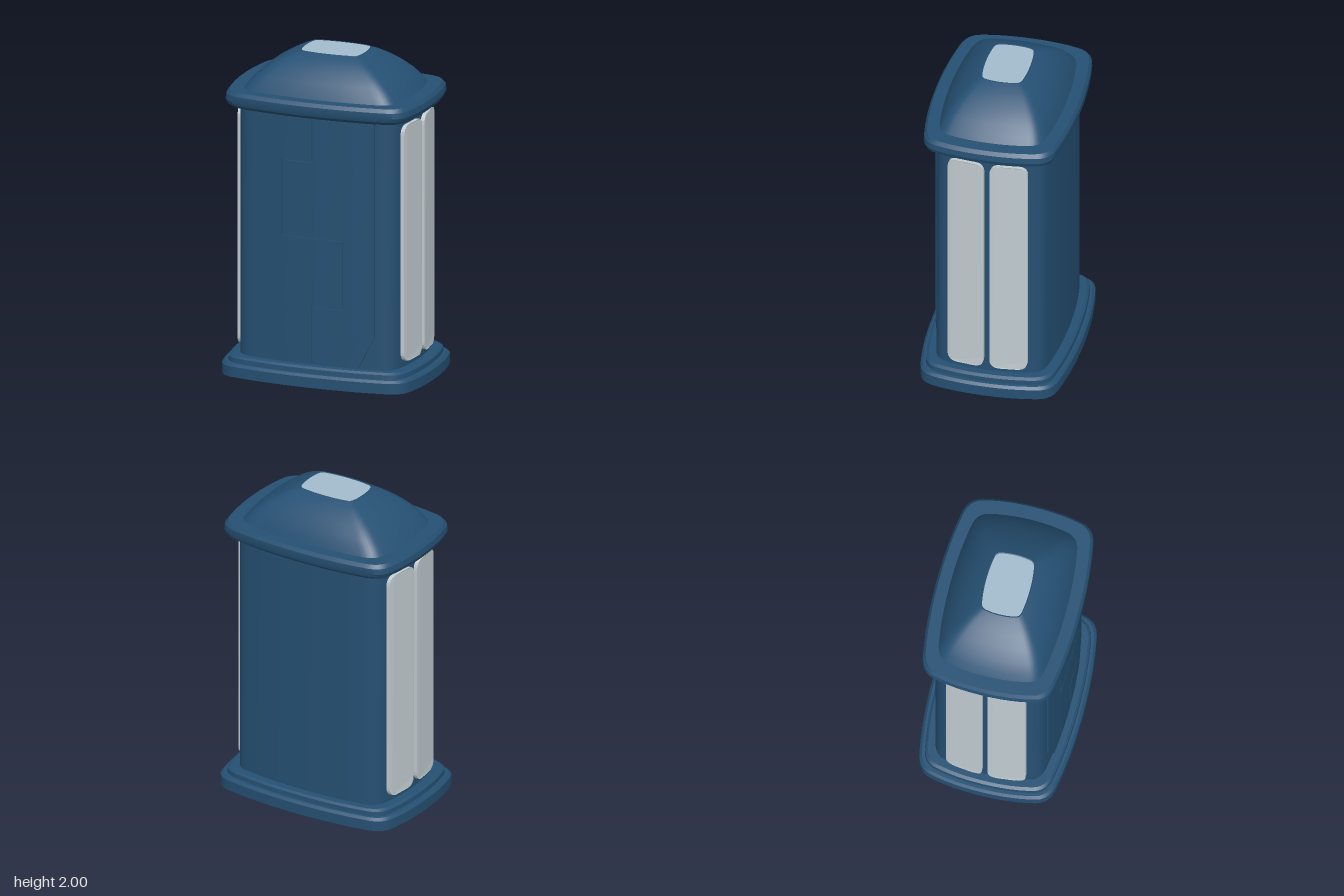
import * as THREE from 'three';
import { toCreasedNormals } from 'three/addons/utils/BufferGeometryUtils.js';

const mat = (name, color) => {
  const m = new THREE.MeshStandardMaterial({ color });
  m.name = name;
  return m;
};

// Bowed rectangle with soft corners, in a unit square
function unitOutline() {
  const s = new THREE.Path();
  s.moveTo(1, 0);
  for (const [x, z] of [[1, 1], [-1, 1], [-1, -1], [1, -1]]) {
    const side = () => {
      if (x * z > 0) s.quadraticCurveTo(x, 0.4 * z, 0.945 * x, 0.7 * z);
      else s.quadraticCurveTo(0.4 * x, z, 0.73 * x, 0.92 * z);
    };
    side();
    if (x * z > 0) {
      s.quadraticCurveTo(0.915 * x, 0.89 * z, 0.73 * x, 0.92 * z);
      s.quadraticCurveTo(0.4 * x, z, 0, z);
    } else {
      s.quadraticCurveTo(0.915 * x, 0.89 * z, 0.945 * x, 0.7 * z);
      s.quadraticCurveTo(x, 0.4 * z, x, 0);
    }
  }
  return s.getPoints(6).slice(0, -1);
}
const OUTLINE = unitOutline();

// Stack of outlines [y, halfWidth, halfDepth], from bottom to top
function loft(rings, crease = 0.5) {
  const n = OUTLINE.length, pos = [], idx = [];
  for (const [y, w, d] of rings) for (const p of OUTLINE) pos.push(p.x * w, y, p.y * d);
  for (let r = 0; r < rings.length - 1; r++) {
    for (let i = 0; i < n; i++) {
      const a = r * n + i, b = r * n + (i + 1) % n;
      idx.push(a, a + n, b, b, a + n, b + n);
    }
  }
  const g = new THREE.BufferGeometry();
  g.setAttribute('position', new THREE.Float32BufferAttribute(pos, 3));
  g.setIndex(idx);
  return toCreasedNormals(g, crease);
}

// Flat lid in the same outline, facing up or down
function lid(y, w, d, up) {
  const g = new THREE.ShapeGeometry(new THREE.Shape(OUTLINE.map(p => new THREE.Vector2(p.x * w, p.y * d))));
  return g.rotateX(up ? -Math.PI / 2 : Math.PI / 2).translate(0, y, 0);
}

const W = 0.54, D = 0.376;
const frontZ = x => D * (1 - 0.08 * (x / (0.73 * W)) ** 2);
const sideX = z => W * (1 - 0.055 * (z / (0.7 * D)) ** 2);

// Tall window with rounded corners, curved along the side wall
function windowGeometry(z0, z1, y0, y1) {
  const c = 0.06, s = new THREE.Shape();
  s.moveTo(-z1 + c, y0);
  s.lineTo(-z0 - c, y0);
  s.quadraticCurveTo(-z0, y0, -z0, y0 + c);
  s.lineTo(-z0, y1 - c);
  s.quadraticCurveTo(-z0, y1, -z0 - c, y1);
  s.lineTo(-z1 + c, y1);
  s.quadraticCurveTo(-z1, y1, -z1, y1 - c);
  s.lineTo(-z1, y0 + c);
  s.quadraticCurveTo(-z1, y0, -z1 + c, y0);
  const g = new THREE.ExtrudeGeometry(s, { depth: 0.034, bevelEnabled: false, curveSegments: 5 });
  g.rotateY(Math.PI / 2);
  const p = g.attributes.position;
  for (let i = 0; i < p.count; i++) p.setX(i, p.getX(i) + sideX(p.getZ(i)) - 0.01);
  g.computeVertexNormals();
  return g;
}

// One band of a door leaf: [y0, y1, left at y0, left at y1, right at y0, right at y1]
function doorBand([y0, y1, l0, l1, r0, r1]) {
  const g = new THREE.BoxGeometry(1, 1, 1, 10, 1, 1);
  const p = g.attributes.position;
  for (let i = 0; i < p.count; i++) {
    const u = p.getX(i) + 0.5, top = p.getY(i) > 0;
    const x = top ? l1 + (r1 - l1) * u : l0 + (r0 - l0) * u;
    p.setXYZ(i, x, top ? y1 : y0, frontZ(x) + (p.getZ(i) > 0 ? 0.009 : -0.02));
  }
  g.computeVertexNormals();
  return g;
}

export function createModel() {
  const blue = mat('deep blue shell', 0x255073);
  const pale = mat('pale grey window', 0xc2ccd1);
  const sky = mat('light blue skylight', 0xa3bccd);
  const dark = mat('dark underside', 0x3c3c3c);
  const root = new THREE.Group();
  root.name = 'booth';
  const add = (name, geometry, material, parent = root) => {
    const m = new THREE.Mesh(geometry, material);
    m.name = name;
    parent.add(m);
    return m;
  };

  // Stepped base
  add('base', loft([
    [0, 0.64, 0.465], [0.065, 0.64, 0.465], [0.08, 0.625, 0.45], [0.08, 0.605, 0.435],
    [0.108, 0.603, 0.433], [0.12, 0.585, 0.42], [0.12, 0.4, 0.3],
  ]), blue);
  add('baseUnderside', lid(0, 0.64, 0.465, false), dark);

  // Walls
  add('body', loft([[0.11, W, D], [1.69, W, D]]), blue);

  // Cornice under the roof
  add('cornice', loft([
    [1.67, 0.4, 0.3], [1.67, 0.585, 0.415], [1.69, 0.612, 0.438], [1.715, 0.622, 0.447],
    [1.75, 0.617, 0.445], [1.772, 0.6, 0.43], [1.772, 0.45, 0.3],
  ]), blue);

  // Domed roof with its skylight
  add('roofDome', loft([
    [1.77, 0.52, 0.36], [1.81, 0.488, 0.342], [1.86, 0.438, 0.312], [1.91, 0.372, 0.268],
    [1.95, 0.305, 0.222], [1.98, 0.248, 0.178], [1.998, 0.2, 0.14],
  ], 1), blue);
  add('skylight', lid(1.998, 0.2, 0.14, true), sky);
  add('skylightRim', loft([[1.99, 0.203, 0.143], [2, 0.2, 0.14], [1.998, 0.194, 0.135]]), blue);

  // Two door leaves that interlock along a stepped seam
  const g = 0.006, L = -0.4, R = 0.388, S = 0.195;
  const leaves = {
    doorRight: [
      [0.125, 0.35, -0.31, L, -g, -g], [0.35, 0.485 + g, L, L, -g, -g],
      [0.485 + g, 0.915 - g, L, L, S - g, S - g], [0.915 - g, 1.39 + g, L, L, -S - g, -S - g],
      [1.39 + g, 1.665, L, -0.355, -g, -g],
    ],
    doorLeft: [
      [0.125, 0.33, g, g, 0.29, R], [0.33, 0.485 - g, g, g, R, R],
      [0.485 - g, 0.915 + g, S + g, S + g, R, R], [0.915 + g, 1.39 - g, -S + g, -S + g, R, R],
      [1.39 - g, 1.665, g, g, R, R],
    ],
  };
  for (const [name, bands] of Object.entries(leaves)) {
    const leaf = new THREE.Group();
    leaf.name = name;
    bands.forEach(b => add(name + 'Panel', doorBand(b), blue, leaf));
    root.add(leaf);
  }

  // Pair of tall windows on each side
  for (const [name, turn] of [['leftWindows', 0], ['rightWindows', Math.PI]]) {
    const pair = new THREE.Group();
    pair.name = name;
    add('window', windowGeometry(0.018, 0.246, 0.155, 1.635), pale, pair);
    add('window', windowGeometry(-0.246, -0.018, 0.155, 1.635), pale, pair);
    pair.rotation.y = turn;
    root.add(pair);
  }
  return root;
}
